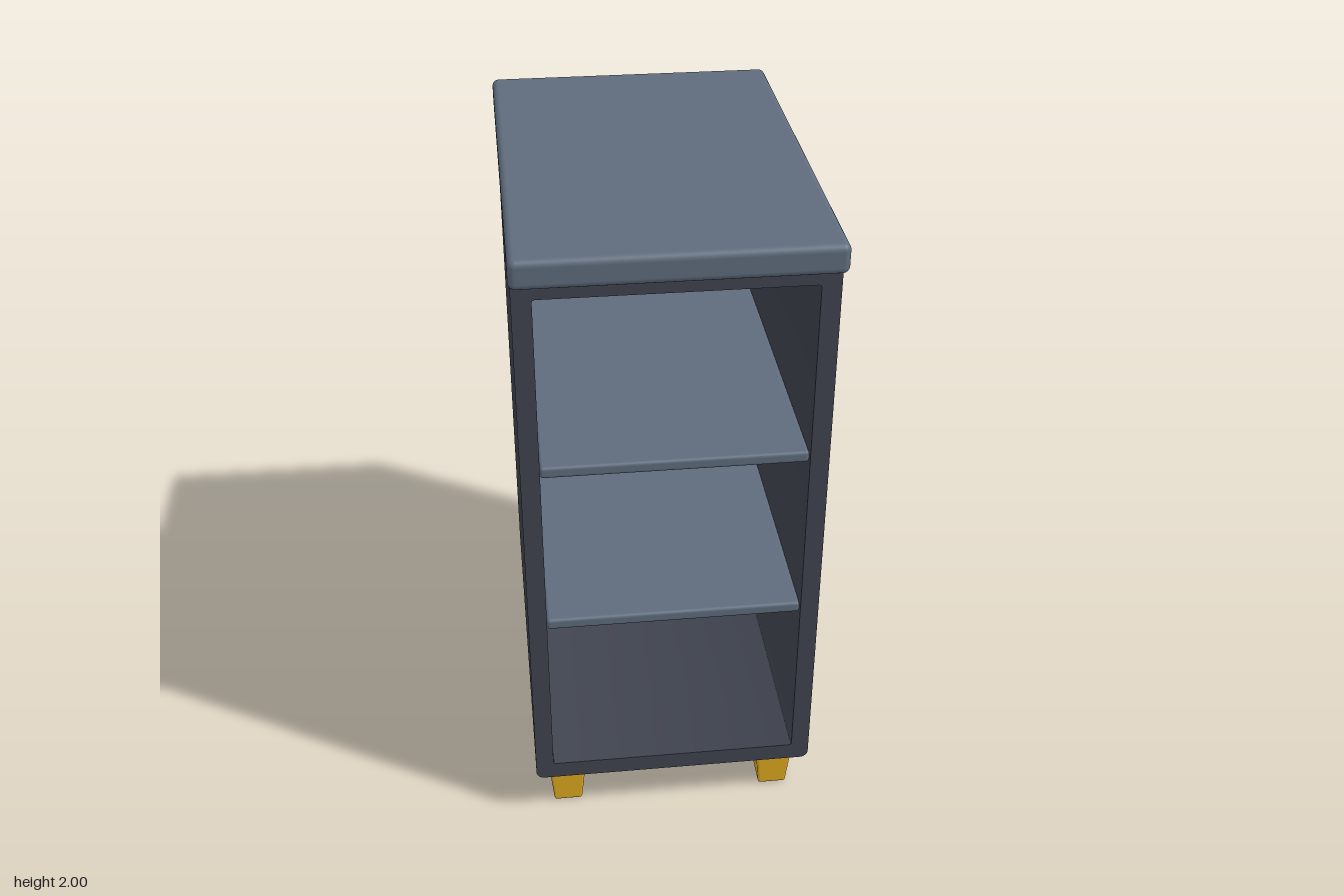
import * as THREE from 'three';
import { toCreasedNormals } from 'three/addons/utils/BufferGeometryUtils.js';
import { RoundedBoxGeometry } from 'three/addons/geometries/RoundedBoxGeometry.js';

// Rounded rectangle outline, used for both the carcass and its opening
function roundedRect(path, x0, x1, y0, y1, r) {
  path.moveTo(x0 + r, y0);
  path.lineTo(x1 - r, y0);
  path.absarc(x1 - r, y0 + r, r, -Math.PI / 2, 0);
  path.lineTo(x1, y1 - r);
  path.absarc(x1 - r, y1 - r, r, 0, Math.PI / 2);
  path.lineTo(x0 + r, y1);
  path.absarc(x0 + r, y1 - r, r, Math.PI / 2, Math.PI);
  path.lineTo(x0, y0 + r);
  path.absarc(x0 + r, y0 + r, r, Math.PI, Math.PI * 1.5);
  return path;
}

export function createModel() {
  const group = new THREE.Group();
  const material = (name, color) => {
    const m = new THREE.MeshStandardMaterial({ color });
    m.name = name;
    return m;
  };
  const charcoal = material('charcoal', 0x3f434e);
  const slate = material('slate', 0x5f6c7d);
  const gold = material('gold', 0xdaa520);

  const add = (name, geometry, mat, x, y, z) => {
    const mesh = new THREE.Mesh(geometry, mat);
    mesh.name = name;
    mesh.position.set(x, y, z);
    group.add(mesh);
    return mesh;
  };

  // Carcass: a tube-like box, open at front and back
  const back = -0.66, front = 0.605;
  const outline = roundedRect(new THREE.Shape(), -0.435, 0.435, 0.16, 1.915, 0.025);
  outline.holes.push(roundedRect(new THREE.Path(), -0.38, 0.38, 0.217, 1.86, 0.008));
  const carcass = new THREE.ExtrudeGeometry(outline, {
    depth: front - back, bevelEnabled: false, curveSegments: 5,
  });
  add('carcass', toCreasedNormals(carcass, 0.6), charcoal, 0, 0, back);

  // Back panel, set slightly into the carcass
  add('backPanel', new THREE.BoxGeometry(0.76, 1.643, 0.025), charcoal, 0, 1.0385, back + 0.0235);

  // Worktop overhanging the front
  add('worktop', new RoundedBoxGeometry(0.88, 0.085, 1.33, 4, 0.02), slate, 0, 1.9575, 0);

  // Two inner shelves
  for (const y of [0.769, 1.311]) {
    add('shelf', new RoundedBoxGeometry(0.76, 0.036, 1.22, 3, 0.01), slate, 0, y, -0.017);
  }

  // Four square legs tapering towards the floor
  const legHeight = 0.17;
  const legGeometry = new RoundedBoxGeometry(0.12, legHeight, 0.12, 3, 0.01);
  const p = legGeometry.attributes.position;
  for (let i = 0; i < p.count; i++) {
    const s = THREE.MathUtils.lerp(0.74, 1, p.getY(i) / legHeight + 0.5);
    p.setXYZ(i, p.getX(i) * s, p.getY(i), p.getZ(i) * s);
  }
  for (const x of [-0.335, 0.335]) {
    for (const z of [0.505, -0.565]) {
      add('leg', legGeometry, gold, x, legHeight / 2, z);
    }
  }
  return group;
}
